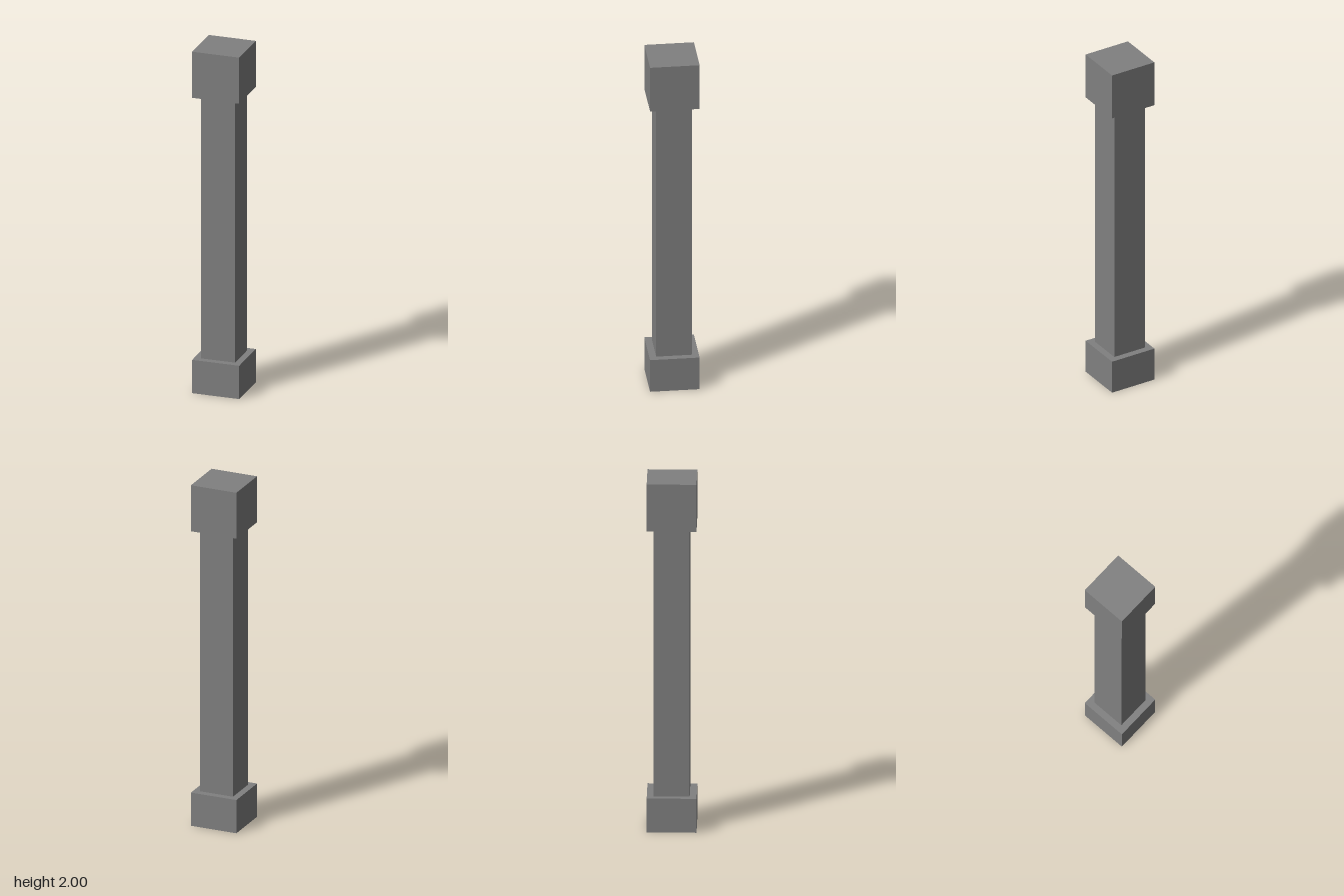
import * as THREE from 'three';

export function createModel() {
  const model = new THREE.Group();
  model.name = 'pillar';
  const stone = new THREE.MeshStandardMaterial({ color: 0x808080 });
  stone.name = 'grey stone';

  // Square block spanning bottom to top
  const addBlock = (name, width, bottom, top) => {
    const mesh = new THREE.Mesh(new THREE.BoxGeometry(width, top - bottom, width), stone);
    mesh.name = name;
    mesh.position.y = (bottom + top) / 2;
    model.add(mesh);
  };

  addBlock('base', 0.273, 0, 0.195);
  addBlock('shaft', 0.197, 0.195, 1.73);
  addBlock('capital', 0.273, 1.73, 2);

  return model;
}
